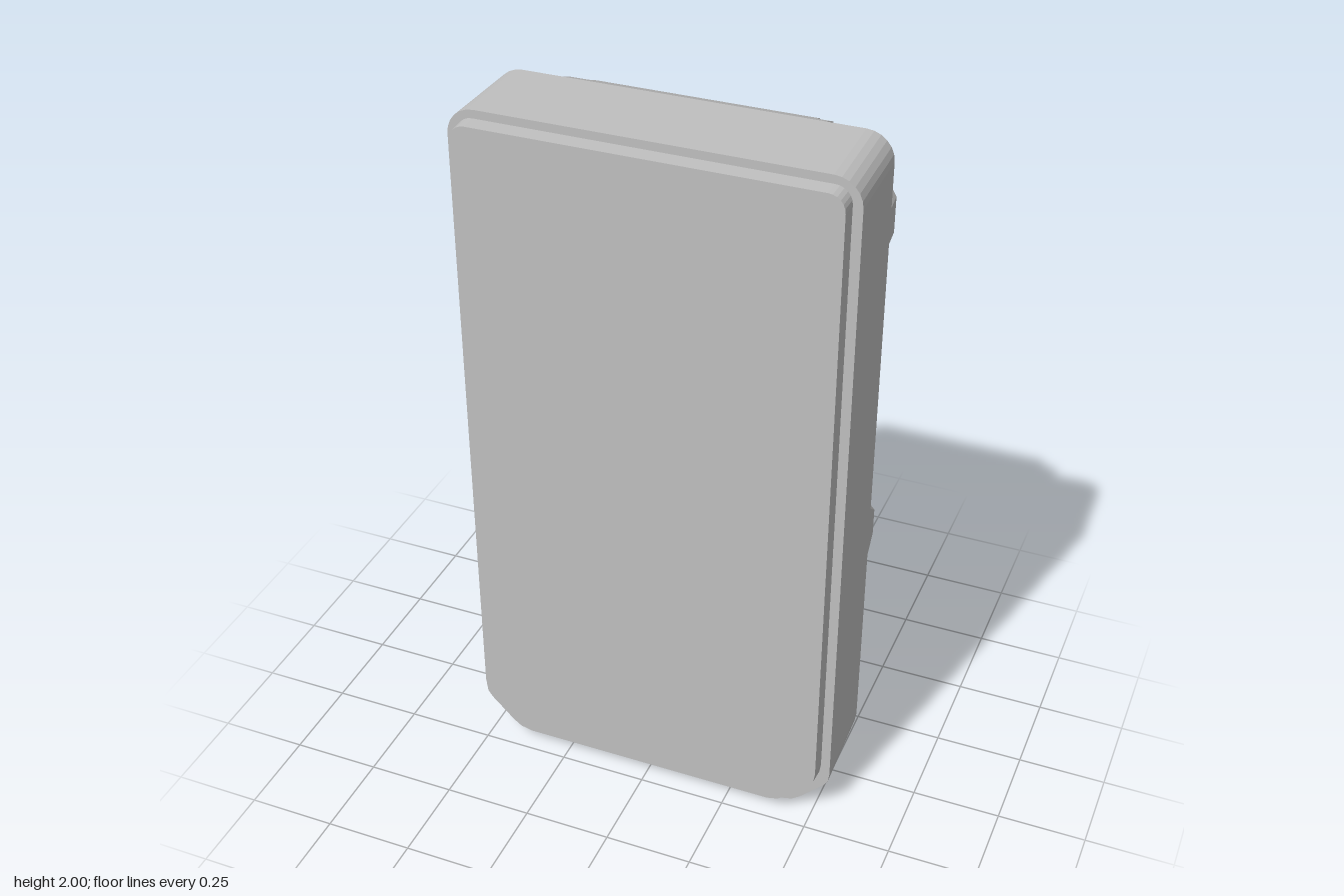
import * as THREE from 'three';

const grey = new THREE.MeshStandardMaterial({ color: 0xbfbfbf });
grey.name = 'grey casing';

// Points along a circular arc, angles in degrees
function arc(cx, cy, r, from, to, n) {
  const pts = [];
  for (let i = 0; i <= n; i++) {
    const a = THREE.MathUtils.degToRad(from + (to - from) * i / n);
    pts.push([cx + r * Math.cos(a), cy + r * Math.sin(a)]);
  }
  return pts;
}

// Completes a right-hand half outline, ordered bottom to top
function mirror(half) {
  const other = half.filter(p => p[0] > 1e-6).map(([x, y]) => [-x, y]).reverse();
  return [...half, ...other];
}

// Skins counter-clockwise outlines [z, points], caps the last and optionally the first
function loft(name, sections, { holes = [], startCap = false } = {}) {
  const pos = [];
  for (let s = 0; s + 1 < sections.length; s++) {
    const [z0, a] = sections[s], [z1, b] = sections[s + 1];
    for (let i = 0; i < a.length; i++) {
      const j = (i + 1) % a.length;
      const p = [...a[i], z0], q = [...a[j], z0], r = [...b[j], z1], t = [...b[i], z1];
      pos.push(...p, ...q, ...r, ...p, ...r, ...t);
    }
  }
  const cap = ([z, outline], cuts, flip) => {
    const v = pts => pts.map(p => new THREE.Vector2(...p));
    const shape = new THREE.Shape(v(outline));
    shape.holes = cuts.map(c => new THREE.Path(v(c)));
    const g = new THREE.ShapeGeometry(shape).toNonIndexed().attributes.position;
    for (let i = 0; i < g.count; i += 3)
      for (const k of flip ? [0, 2, 1] : [0, 1, 2]) pos.push(g.getX(i + k), g.getY(i + k), z);
  };
  cap(sections[sections.length - 1], holes, false);
  if (startCap) cap(sections[0], [], true);
  const geo = new THREE.BufferGeometry();
  geo.setAttribute('position', new THREE.Float32BufferAttribute(pos, 3));
  geo.computeVertexNormals();
  const mesh = new THREE.Mesh(geo, grey);
  mesh.name = name;
  return mesh;
}

// Case outline: cut lower corners, rounded upper corners
function caseOutline(w, bottom, top, r) {
  return mirror([
    [w - 0.14, bottom], [w - 0.108, bottom + 0.008], [w - 0.085, bottom + 0.025],
    [w - 0.018, bottom + 0.092], [w - 0.004, bottom + 0.112], [w, bottom + 0.14],
    ...arc(w - r, top - r, r, 0, 90, 6),
  ]);
}

const DIAL_Y = 0.455;

export function createModel() {
  const model = new THREE.Group();
  model.name = 'handheldCase';

  // Front lid
  model.add(loft('frontLid', [
    [0.16, caseOutline(0.515, 0.03, 1.977, 0.045)],
    [0.212, caseOutline(0.513, 0.032, 1.975, 0.045)],
  ]));

  // Everything on the back is built facing +z, then turned round
  const back = new THREE.Group();
  back.name = 'backAssembly';
  back.rotation.y = Math.PI;
  model.add(back);

  back.add(loft('mainBody', [
    [-0.165, caseOutline(0.541, 0, 2, 0.075)],
    [0.1, caseOutline(0.535, 0.01, 2, 0.075)],
  ], { startCap: true }));

  // Raised pad with a curved lower edge, four screw lugs and notched upper corners
  const padOutline = (r, endAngle, low, edge, waist, top) => mirror([
    ...arc(0, DIAL_Y, r, 90, endAngle, 14),
    [edge - 0.025, low], [edge, low + 0.04], [edge, 0.84], [waist, 0.89],
    [waist, 1.65], [edge, 1.7], [edge, 1.8], [edge - 0.012, 1.82],
    ...arc(0.425, 1.89, 0.07, 270, 180, 6),
    [0.355, top],
  ]);
  const screws = [];
  for (const x of [-0.46, 0.46]) for (const y of [0.805, 1.74]) screws.push([x, y]);
  back.add(loft('raisedPad', [
    [0.099, padOutline(0.475, 29.7, 0.69, 0.535, 0.535, 2)],
    [0.165, padOutline(0.497, 32, 0.72, 0.528, 0.485, 1.972)],
  ], { holes: screws.map(([x, y]) => arc(x, y, 0.043, 0, 345, 23)) }));

  // Countersunk screw holes
  for (const [x, y] of screws) {
    const ring = r => arc(x, y, r, 0, 345, 23);
    back.add(loft('screwHole', [[0.165, ring(0.043)], [0.15, ring(0.03)], [0.112, ring(0.028)]]));
  }

  // Central ridge with a shallow label recess
  const ridgeOutline = (r, w, top) => mirror([
    ...arc(0, DIAL_Y, r, 90, THREE.MathUtils.radToDeg(Math.acos(w / r)), 12),
    [w, top],
  ]);
  const label = mirror([
    ...arc(0.227, 1.125, 0.02, -90, 0, 4), ...arc(0.227, 1.78, 0.02, 0, 90, 4),
  ]);
  back.add(loft('centralRidge', [
    [0.164, ridgeOutline(0.497, 0.311, 1.972)],
    [0.215, ridgeOutline(0.518, 0.304, 1.95)],
  ], { holes: [label] }));
  back.add(loft('labelRecess', [[0.215, label], [0.208, label]]));

  // Thin circular marks on the dial and in the corners
  const marks = [[0, DIAL_Y, 0.235]];
  for (const s of [-1, 1]) marks.push([s * 0.44, 0.15, 0.085], [s * 0.455, 1.905, 0.06]);
  for (const [x, y, r] of marks) {
    const m = new THREE.Mesh(new THREE.RingGeometry(r - 0.005, r, 40), grey);
    m.name = 'circleMark';
    m.position.set(x, y, 0.102);
    back.add(m);
  }

  // Radial tick marks around the dial
  for (const [deg, r0, r1] of [[0, 0.41, 0.53], [45, 0.41, 0.47], [90, 0.41, 0.46],
    [135, 0.41, 0.47], [180, 0.41, 0.53], [270, 0.4, 0.44]]) {
    const a = THREE.MathUtils.degToRad(deg), r = (r0 + r1) / 2;
    const tick = new THREE.Mesh(new THREE.BoxGeometry(r1 - r0, 0.007, 0.004), grey);
    tick.name = 'dialTick';
    tick.position.set(r * Math.cos(a), DIAL_Y + r * Math.sin(a), 0.101);
    tick.rotation.z = a;
    back.add(tick);
  }

  return model;
}
